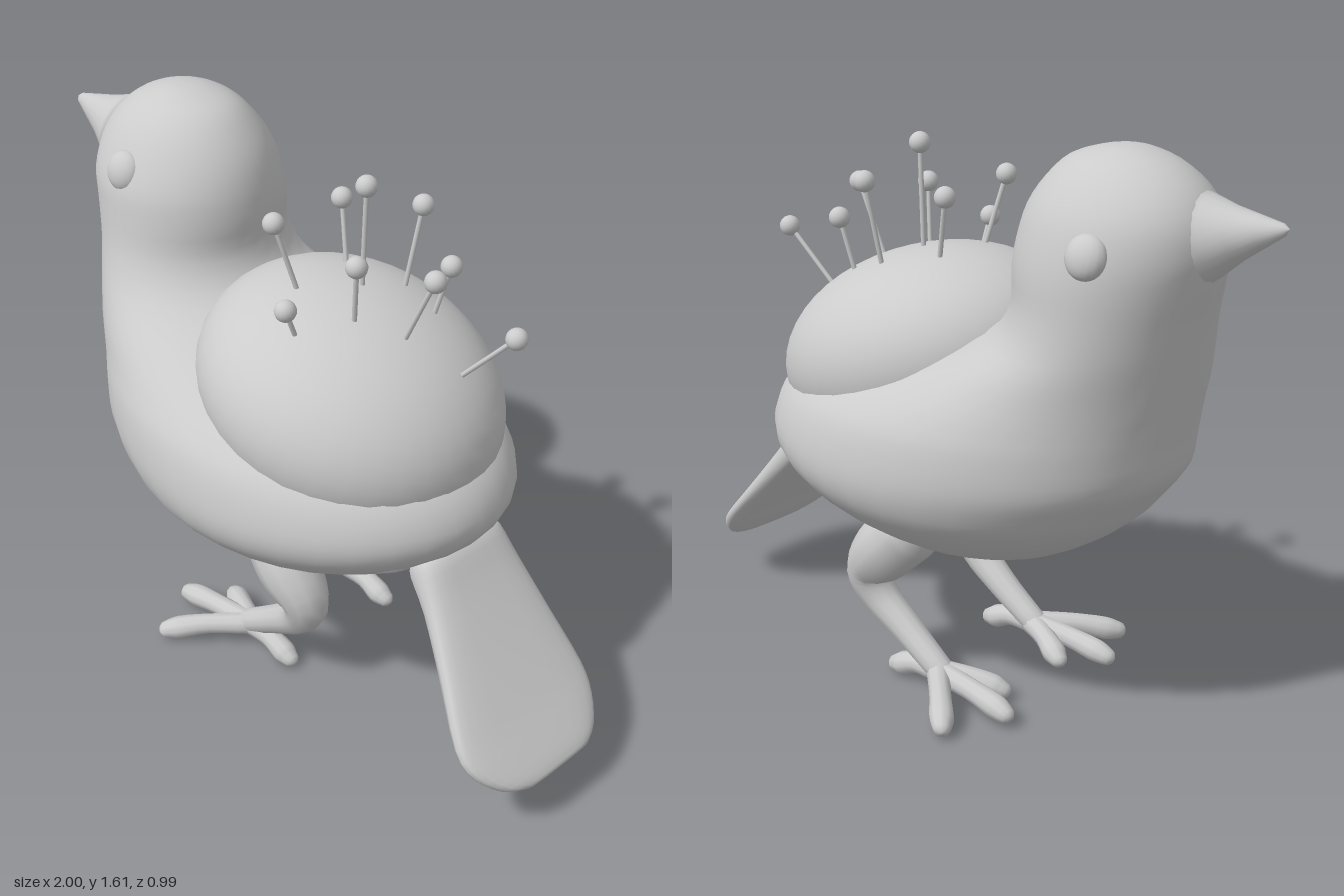
import * as THREE from 'three';

const grey = new THREE.MeshStandardMaterial({ color: 0xcccccc });
const V = (x, y, z) => new THREE.Vector3(x, y, z);

function add(parent, name, geometry) {
  const mesh = new THREE.Mesh(geometry, grey);
  mesh.name = name;
  parent.add(mesh);
  return mesh;
}

// Smoothly resamples rows of numbers, column by column
function resample(rows, steps) {
  const out = [];
  const last = rows.length - 1;
  for (let i = 0; i <= steps; i++) {
    const t = (i / steps) * last;
    const k = Math.min(Math.floor(t), last - 1);
    const f = t - k;
    out.push(rows[k].map((b, c) => {
      const d = rows[k + 1][c];
      const m0 = k > 0 ? (d - rows[k - 1][c]) / 2 : d - b;
      const m1 = k < last - 1 ? (rows[k + 2][c] - b) / 2 : d - b;
      const f2 = f * f, f3 = f2 * f;
      return (2 * f3 - 3 * f2 + 1) * b + (f3 - 2 * f2 + f) * m0 + (3 * f2 - 2 * f3) * d + (f3 - f2) * m1;
    }));
  }
  return out;
}

// Skins closed rings of points and closes both ends; faces always point outwards
function loft(rings) {
  const n = rings[0].length;
  const pts = rings.flat();
  const index = [];
  for (let r = 0; r < rings.length - 1; r++) {
    for (let i = 0; i < n; i++) {
      const a = r * n + i, b = r * n + (i + 1) % n;
      index.push(a, b, a + n, b, b + n, a + n);
    }
  }
  const cap = (ring, start, flip) => {
    const c = pts.length;
    pts.push(ring.reduce((s, p) => s.add(p), V(0, 0, 0)).divideScalar(n));
    for (let i = 0; i < n; i++) {
      const a = start + i, b = start + (i + 1) % n;
      if (flip) index.push(c, b, a); else index.push(c, a, b);
    }
  };
  cap(rings[0], 0, true);
  cap(rings[rings.length - 1], (rings.length - 1) * n, false);
  let volume = 0;
  for (let i = 0; i < index.length; i += 3) {
    volume += pts[index[i]].dot(V(0, 0, 0).crossVectors(pts[index[i + 1]], pts[index[i + 2]]));
  }
  if (volume < 0) index.reverse();
  const g = new THREE.BufferGeometry().setFromPoints(pts);
  g.setIndex(index);
  g.computeVertexNormals();
  return g;
}

// Round limb through rows of [x, y, z, radius], with domed ends
function limb(rows, steps, sides) {
  const s = resample(rows, steps);
  const p = s.map(([x, y, z]) => V(x, y, z));
  const tangent = (i) => p[Math.min(i + 1, steps)].clone().sub(p[Math.max(i - 1, 0)]).normalize();
  const ring = (c, t, r) => {
    const side = V(0, 0, 1).addScaledVector(t, -t.z).normalize();
    const up = V(0, 0, 0).crossVectors(t, side);
    return Array.from({ length: sides }, (_, i) => {
      const a = (i / sides) * Math.PI * 2;
      return c.clone().addScaledVector(side, r * Math.cos(a)).addScaledVector(up, r * Math.sin(a));
    });
  };
  const rings = p.map((c, i) => ring(c, tangent(i), s[i][3]));
  const dome = (i, sign) => [0.6, 1.1, 1.45].map((a) => {
    const t = tangent(i), r = s[i][3];
    return ring(p[i].clone().addScaledVector(t, sign * r * Math.sin(a)), t, r * Math.cos(a));
  });
  return loft([...dome(0, -1).reverse(), ...rings, ...dome(steps, 1)]);
}

function createBody() {
  // Level slices: height, front x, back x, half width, z centre
  const rows = [
    [0.40, -0.14, 0.03, 0.06, 0], [0.445, -0.33, 0.23, 0.23, 0], [0.52, -0.47, 0.42, 0.36, 0],
    [0.6, -0.57, 0.54, 0.45, 0], [0.67, -0.63, 0.615, 0.488, 0], [0.75, -0.69, 0.632, 0.494, 0],
    [0.85, -0.712, 0.57, 0.475, 0], [0.92, -0.727, 0.42, 0.435, 0], [1.0, -0.745, 0.13, 0.375, 0],
    [1.1, -0.765, -0.17, 0.31, -0.01], [1.2, -0.785, -0.26, 0.28, -0.02], [1.3, -0.81, -0.262, 0.27, -0.025],
    [1.38, -0.825, -0.27, 0.258, -0.025], [1.46, -0.815, -0.295, 0.228, -0.03], [1.53, -0.772, -0.34, 0.183, -0.03],
    [1.585, -0.70, -0.40, 0.125, -0.03], [1.615, -0.62, -0.49, 0.06, -0.03], [1.622, -0.57, -0.55, 0.01, -0.03],
  ];
  return loft(resample(rows, 51).map(([y, x0, x1, hz, zc]) =>
    Array.from({ length: 36 }, (_, i) => {
      const a = (i / 36) * Math.PI * 2;
      return V((x0 + x1) / 2 + ((x1 - x0) / 2) * Math.cos(a), y, zc + hz * Math.sin(a));
    })));
}

function createTail() {
  // Slices along the tail: x, y, z centre, half width, half thickness
  const rows = [
    [0.53, 0.625, 0, 0.15, 0.035], [0.55, 0.605, 0, 0.162, 0.058], [0.62, 0.53, 0.008, 0.178, 0.046],
    [0.73, 0.41, 0.03, 0.214, 0.036], [0.85, 0.28, 0.057, 0.254, 0.03], [0.91, 0.215, 0.062, 0.24, 0.03],
    [0.96, 0.163, 0.055, 0.185, 0.028], [0.982, 0.14, 0.045, 0.125, 0.022],
  ];
  const power = (v, e) => Math.sign(v) * Math.abs(v) ** e;
  return loft(resample(rows, 21).map(([x, y, zc, w, t]) =>
    Array.from({ length: 24 }, (_, i) => {
      const a = (i / 24) * Math.PI * 2;
      const d = t * power(Math.sin(a), 0.6);
      return V(x + d * 0.73, y + d * 0.68, zc + w * power(Math.cos(a), 0.6));
    })));
}

function createLeg(side, name) {
  const leg = new THREE.Group();
  leg.name = name;
  const at = (x, y, z, r) => [x, y, side * z - 0.025, r];
  add(leg, 'shank', limb([
    at(0.02, 0.485, 0.2, 0.1), at(0.1, 0.4, 0.222, 0.094), at(0.165, 0.315, 0.222, 0.07),
    at(0.13, 0.235, 0.212, 0.055), at(0.03, 0.16, 0.205, 0.045), at(-0.1, 0.075, 0.205, 0.038),
  ], 20, 12));
  // Three toes forward and one back
  const toes = [[-0.36, 0.045, 0.225], [-0.275, 0.04, 0.385], [-0.26, 0.04, 0.125], [0.075, 0.035, 0.205]];
  toes.forEach(([x, y, z], i) => {
    add(leg, 'toe' + (i + 1), limb([
      at(-0.09, 0.07, 0.205, 0.035),
      at((x - 0.09) / 2, 0.065, (z + 0.205) / 2, 0.031),
      at(x * 0.85 - 0.0135, y + 0.008, z * 0.85 + 0.03, 0.035),
      at(x, y, z, 0.028),
    ], 9, 10));
  });
  return leg;
}

function createPin(head, base) {
  const pin = new THREE.Group();
  pin.name = 'pin';
  const top = V(...head), foot = V(...base);
  const dir = top.clone().sub(foot).normalize();
  foot.addScaledVector(dir, -0.05);
  const shaft = add(pin, 'pinShaft', new THREE.CylinderGeometry(0.007, 0.007, top.distanceTo(foot), 8));
  shaft.position.copy(top).add(foot).multiplyScalar(0.5);
  shaft.quaternion.setFromUnitVectors(V(0, 1, 0), dir);
  add(pin, 'pinHead', new THREE.SphereGeometry(0.03, 16, 12)).position.copy(top);
  return pin;
}

export function createModel() {
  const bird = new THREE.Group();
  bird.name = 'birdPincushion';

  add(bird, 'body', createBody());
  add(bird, 'tail', createTail());

  // Domed cushion set into the back, sloping towards the tail
  const cushion = add(bird, 'cushion', new THREE.SphereGeometry(1, 36, 24));
  cushion.scale.set(0.455, 0.295, 0.412);
  cushion.rotation.z = -0.3;
  cushion.position.set(0.14, 0.945, 0);

  // Beak, slightly hollow towards the tip
  const profile = [[0, -0.08], [0.13, -0.045], [0.1, 0.01], [0.07, 0.065], [0.042, 0.13], [0.016, 0.19], [0, 0.205]];
  const beak = add(bird, 'beak', new THREE.LatheGeometry(profile.map(([r, y]) => new THREE.Vector2(r, y)), 20));
  beak.position.set(-0.8, 1.425, 0);
  beak.quaternion.setFromUnitVectors(V(0, 1, 0), V(-0.2, 0.045, 0.02).normalize());

  // Eyes, flattened against the turned head
  [[-0.555, 1.425, 0.2, 'leftEye'], [-0.62, 1.39, -0.265, 'rightEye']].forEach(([x, y, z, name]) => {
    const eye = add(bird, name, new THREE.SphereGeometry(1, 18, 14));
    eye.scale.set(0.056, 0.058, 0.038);
    eye.rotation.set(z > 0 ? -0.3 : 0.3, 0.12, 0);
    eye.position.set(x, y, z);
  });

  bird.add(createLeg(1, 'leftLeg'), createLeg(-1, 'rightLeg'));

  // Pins: head centre, then where the shaft enters the cushion
  const pins = [
    [[-0.02, 1.42, -0.12], [0.02, 1.24, -0.1]], [[0, 1.44, 0.15], [0.035, 1.24, 0.1]],
    [[0.15, 1.535, -0.04], [0.14, 1.25, -0.04]], [[0.15, 1.28, 0.25], [0.15, 1.19, 0.215]],
    [[0.2, 1.445, -0.205], [0.18, 1.21, -0.165]], [[0.255, 1.39, 0.1], [0.23, 1.22, 0.08]],
    [[0.33, 1.32, -0.18], [0.3, 1.2, -0.165]], [[0.435, 1.38, 0], [0.34, 1.18, 0]],
    [[0.61, 1.24, -0.12], [0.47, 1.09, -0.09]],
  ];
  pins.forEach(([head, base]) => bird.add(createPin(head, base)));

  return bird;
}
